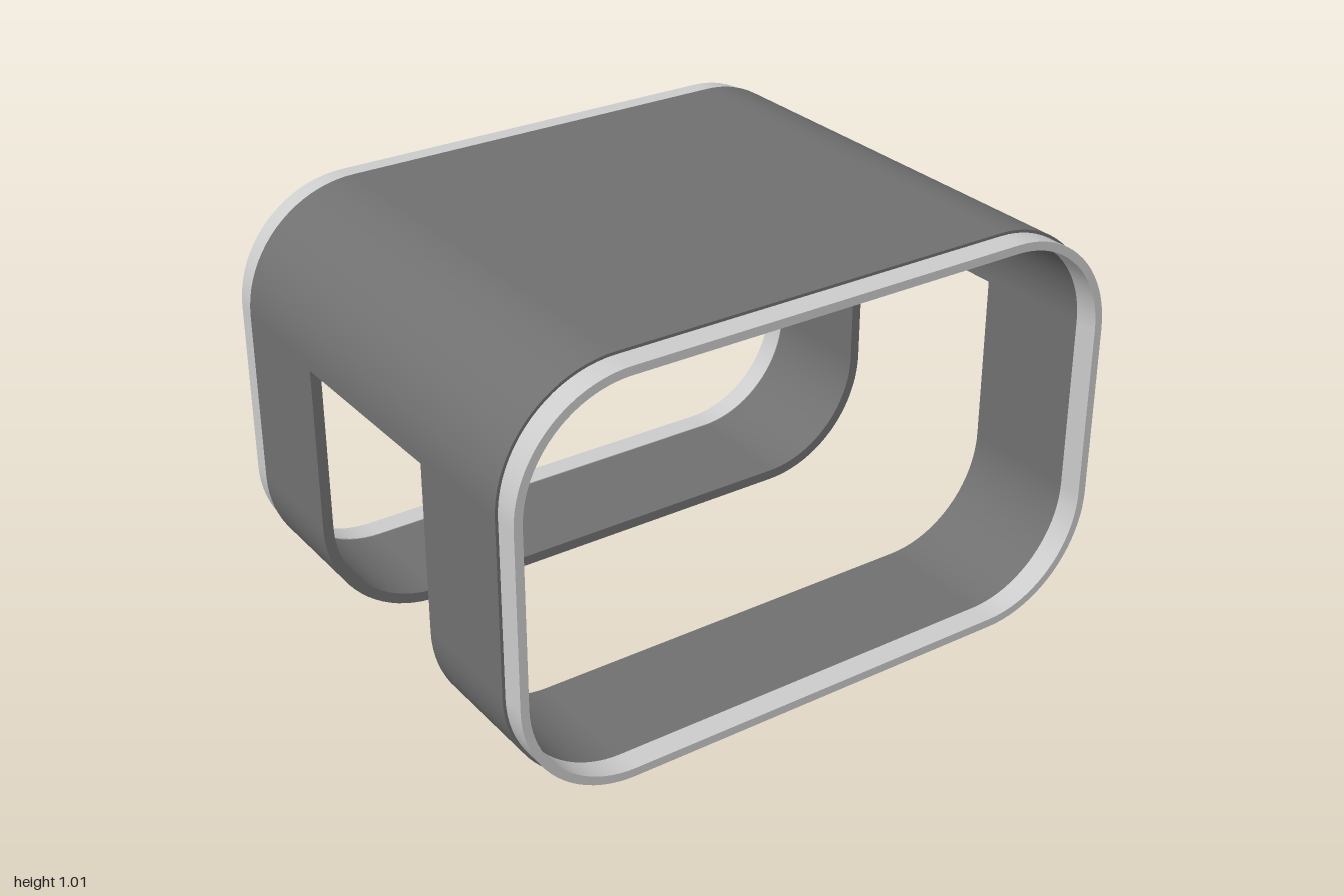
import * as THREE from 'three';

const HEIGHT = 1.015;     // overall body height
const CUT_TOP = 0.71;     // top of the notch
const ARC_STEPS = 20;     // segments per rounded corner

// Rounded rectangle, counter-clockwise, as {p, n}; includes points at the notch height.
function roundedProfile(w, h, r, cutY) {
  const pts = [];
  const add = (x, y, a) => pts.push({
    p: new THREE.Vector2(x, y),
    n: new THREE.Vector2(Math.cos(a), Math.sin(a)),
  });
  [[1, 1], [-1, 1], [-1, -1], [1, -1]].forEach(([sx, sy], k) => {
    if (k === 0) add(w, cutY, 0);
    if (k === 2) add(-w, cutY, Math.PI);
    for (let i = 0; i <= ARC_STEPS; i++) {
      const a = (k + i / ARC_STEPS) * Math.PI / 2;
      add(sx * (w - r) + r * Math.cos(a), sy * (h - r) + r * Math.sin(a), a);
    }
  });
  return pts;
}

// Hollow rounded tube along z, split into bands; solid(band, segmentMidY) tells which cells exist.
function tubeShell({ w, h, r, t, stations, solid = () => true }) {
  const cutY = CUT_TOP - HEIGHT / 2;
  const prof = roundedProfile(w, h, r, cutY);
  const count = prof.length, bands = stations.length - 1;
  const pos = [], nor = [];

  const point = (i, z, inner) => {
    const { p, n } = prof[i % count];
    const d = inner ? t : 0;
    return new THREE.Vector3(p.x - n.x * d, p.y - n.y * d, z);
  };
  const normal = (i, s) => {
    const { n } = prof[i % count];
    return new THREE.Vector3(n.x * s, n.y * s, 0);
  };
  const quad = (c, ns) => {
    const flat = c[1].clone().sub(c[0]).cross(c[2].clone().sub(c[0])).normalize();
    for (const k of [0, 1, 2, 0, 2, 3]) {
      pos.push(...c[k].toArray());
      nor.push(...(ns ? ns[k] : flat).toArray());
    }
  };
  const filled = (i, b) => {
    if (b < 0 || b >= bands) return false;
    const k = (i + count) % count;
    return solid(b, (prof[k].p.y + prof[(k + 1) % count].p.y) / 2 - cutY);
  };

  for (let b = 0; b < bands; b++) {
    const z0 = stations[b], z1 = stations[b + 1];
    for (let i = 0; i < count; i++) {
      if (!filled(i, b)) continue;
      const j = i + 1;
      // outer and inner skins
      quad([point(i, z0), point(j, z0), point(j, z1), point(i, z1)],
        [normal(i, 1), normal(j, 1), normal(j, 1), normal(i, 1)]);
      quad([point(i, z0, true), point(i, z1, true), point(j, z1, true), point(j, z0, true)],
        [normal(i, -1), normal(i, -1), normal(j, -1), normal(j, -1)]);
      // wall thickness wherever the neighbouring cell is missing
      if (!filled(i, b + 1)) quad([point(i, z1), point(j, z1), point(j, z1, true), point(i, z1, true)]);
      if (!filled(i, b - 1)) quad([point(i, z0), point(i, z0, true), point(j, z0, true), point(j, z0)]);
      if (!filled(i - 1, b)) quad([point(i, z0), point(i, z1), point(i, z1, true), point(i, z0, true)]);
      if (!filled(j, b)) quad([point(j, z0), point(j, z0, true), point(j, z1, true), point(j, z1)]);
    }
  }
  const geo = new THREE.BufferGeometry();
  geo.setAttribute('position', new THREE.Float32BufferAttribute(pos, 3));
  geo.setAttribute('normal', new THREE.Float32BufferAttribute(nor, 3));
  return geo;
}

export function createModel() {
  const group = new THREE.Group();
  group.name = 'roundedSleeve';
  const add = (name, geo, color) => {
    const mesh = new THREE.Mesh(geo, new THREE.MeshStandardMaterial({ color }));
    mesh.name = name;
    mesh.position.y = HEIGHT / 2;
    group.add(mesh);
  };

  // Body sleeve, notched through both side walls and the floor
  add('sleeveBody', tubeShell({
    w: 0.8, h: HEIGHT / 2, r: 0.29, t: 0.026,
    stations: [-0.56, -0.255, 0.255, 0.56],
    solid: (band, aboveCut) => band !== 1 || aboveCut > 0,
  }), 0x707070);

  // Paler lip at each open end, slightly inset from the body
  for (const [name, z0, z1] of [['frontLip', 0.56, 0.62], ['backLip', -0.62, -0.56]]) {
    add(name, tubeShell({ w: 0.793, h: HEIGHT / 2 - 0.007, r: 0.283, t: 0.021, stations: [z0, z1] }), 0xcccccc);
  }

  group.rotation.y = Math.PI / 4;
  return group;
}
